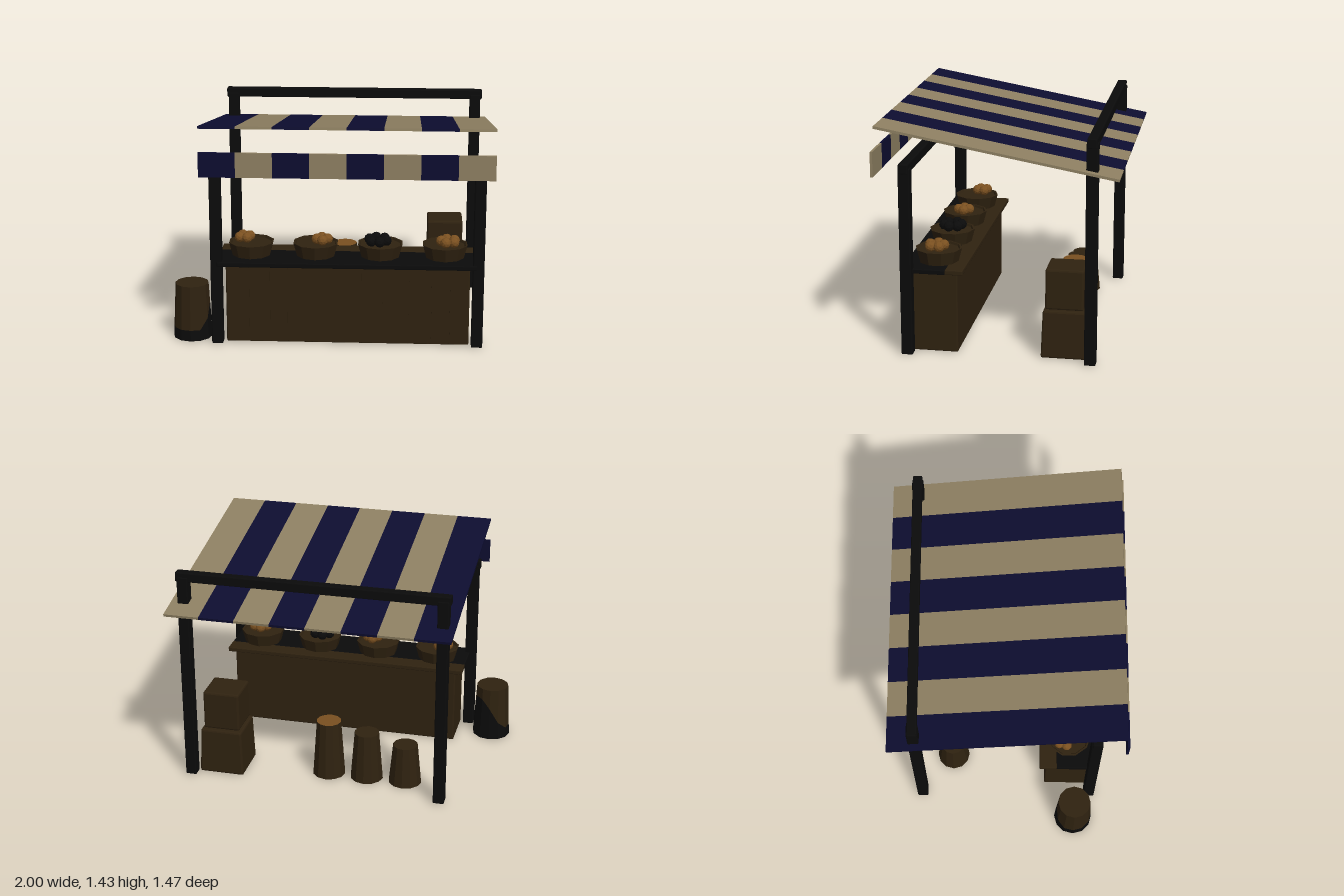
import * as THREE from 'three';
import { RoundedBoxGeometry } from 'three/addons/geometries/RoundedBoxGeometry.js';

const paint = (name, color, side = THREE.FrontSide) => {
  const m = new THREE.MeshStandardMaterial({ color, flatShading: true, side });
  m.name = name;
  return m;
};

export function createModel() {
  const model = new THREE.Group();
  model.name = 'marketStall';
  const wood = paint('darkWood', 0x2f2210);
  const black = paint('blackWood', 0x0b0b0b);
  const tan = paint('tanCloth', 0x8e8062);
  const blue = paint('blueCloth', 0x0d0d30);
  const amber = paint('amber', 0x7a5020);

  const add = (name, geo, mat, x, y, z, parent = model) => {
    const mesh = new THREE.Mesh(geo, mat);
    mesh.name = name;
    mesh.position.set(x, y, z);
    parent.add(mesh);
    return mesh;
  };
  const box = (w, h, d, bevel = 0) =>
    bevel ? new RoundedBoxGeometry(w, h, d, 1, bevel) : new THREE.BoxGeometry(w, h, d);

  // Posts and cross beams
  const rows = [['front', 0.55, 1.17], ['back', -0.57, 1.37]];
  for (const [name, z, h] of rows) {
    for (const [side, x] of [['Left', 0.92], ['Right', -0.705]])
      add(name + side + 'Post', box(0.07, h, 0.07, 0.006), black, x, h / 2, z);
    add(name + 'Beam', box(1.715, 0.06, 0.06, 0.006), black, 0.1075, h, z);
  }

  // Striped canopy sloping down to the back, and the hanging valance
  const canopy = new THREE.Group();
  canopy.name = 'canopy';
  canopy.position.set(0, 1.297, -0.01);
  canopy.rotation.x = -0.177;
  model.add(canopy);
  const stripe = 1.78 / 8;
  for (let i = 0; i < 8; i++) {
    const x = -0.78 + stripe * (i + 0.5);
    const cloth = i % 2 ? tan : blue;
    add('canopyStripe', box(stripe, 0.016, 1.473), cloth, x, 0, 0, canopy);
    add('valanceStripe', box(stripe, 0.153, 0.015), cloth, x, 1.201, 0.73);
  }

  // Counter body, front planks and two-board top
  add('counterBody', box(1.52, 0.508, 0.295, 0.008), wood, 0.11, 0.256, 0.3975);
  const seams = [-0.645, -0.5, -0.37, -0.26, -0.11, 0.03, 0.2, 0.335, 0.49, 0.63, 0.745, 0.865];
  for (let i = 0; i < seams.length - 1; i++) {
    const w = seams[i + 1] - seams[i];
    add('frontPlank', box(w - 0.008, 0.49, 0.012), wood, seams[i] + w / 2, 0.255, 0.547);
  }
  add('counterTopFront', box(1.61, 0.03, 0.27, 0.005), black, 0.105, 0.523, 0.455);
  add('counterTopBack', box(1.61, 0.03, 0.11, 0.005), wood, 0.105, 0.525, 0.265);

  // Bowls with small piles of fruit
  const bowlGeo = new THREE.LatheGeometry(
    [[0, 0], [0.122, 0], [0.145, 0.085], [0.134, 0.085], [0.128, 0.072], [0, 0.072]]
      .map(([r, y]) => new THREE.Vector2(r, y)), 10);
  const fruitGeo = new THREE.IcosahedronGeometry(0.034, 1);
  const bowls = [
    [-0.5, -0.545, 0.365, 4, 0.034, amber], [-0.095, -0.055, 0.395, 4, 0.034, amber],
    [0.31, 0.295, 0.395, 6, 0.055, black], [0.715, 0.735, 0.405, 5, 0.045, amber],
  ];
  for (const [x, fx, fz, count, spread, mat] of bowls) {
    add('bowl', bowlGeo, wood, x, 0.537, 0.395);
    for (let i = 0; i < count; i++) {
      const a = (i / count) * Math.PI * 2 + x;
      const f = add('fruit', fruitGeo, mat, fx + Math.cos(a) * spread, 0.641, fz + Math.sin(a) * spread);
      f.rotation.y = a;
    }
  }

  // Stacked crates, the lower one narrowing upwards
  const lowerCrate = box(0.28, 0.3, 0.28, 0.012);
  const p = lowerCrate.attributes.position;
  for (let i = 0; i < p.count; i++) {
    const k = 1 - p.getY(i) * 0.25;
    p.setXYZ(i, p.getX(i) * k, p.getY(i), p.getZ(i) * k);
  }
  add('lowerCrate', lowerCrate, wood, 0.73, 0.15, -0.405);
  add('upperCrate', box(0.235, 0.255, 0.235, 0.012), wood, 0.73, 0.43, -0.4);

  // Row of three tapered tubs, the tallest with an amber top
  [[0.057, 0.375], [-0.193, 0.322], [-0.445, 0.265]].forEach(([x, h], i) => {
    add('tub', new THREE.CylinderGeometry(0.08, 0.106, h, 12),
      i === 0 ? [wood, amber, wood] : wood, x, h / 2, -0.365);
  });

  // Side barrel: dark lower part with a slanted edge, wooden upper part
  const H = 0.355;
  const radius = y => 0.124 - 0.019 * (y / H);
  const edge = (x, z) => 0.07 + 0.22 * Math.max(0, Math.cos(Math.atan2(z, x) + 0.75));
  const barrelPart = (lower) => {
    const g = new THREE.CylinderGeometry(1, 1, 1, 12, 1, true);
    const v = g.attributes.position;
    for (let i = 0; i < v.count; i++) {
      const x = v.getX(i), z = v.getZ(i), top = v.getY(i) > 0;
      const y = top === lower ? edge(x, z) : (lower ? 0 : H);
      v.setXYZ(i, x * radius(y), y, z * radius(y));
    }
    return g;
  };
  add('barrelLower', barrelPart(true), black, -0.878, 0, 0.44);
  add('barrelUpper', barrelPart(false), wood, -0.878, 0, 0.44);
  add('barrelLid', new THREE.CircleGeometry(radius(H), 12), wood, -0.878, H, 0.44).rotation.x = -Math.PI / 2;
  add('barrelBase', new THREE.CircleGeometry(radius(0), 12), black, -0.878, 0, 0.44).rotation.x = Math.PI / 2;

  return model;
}
